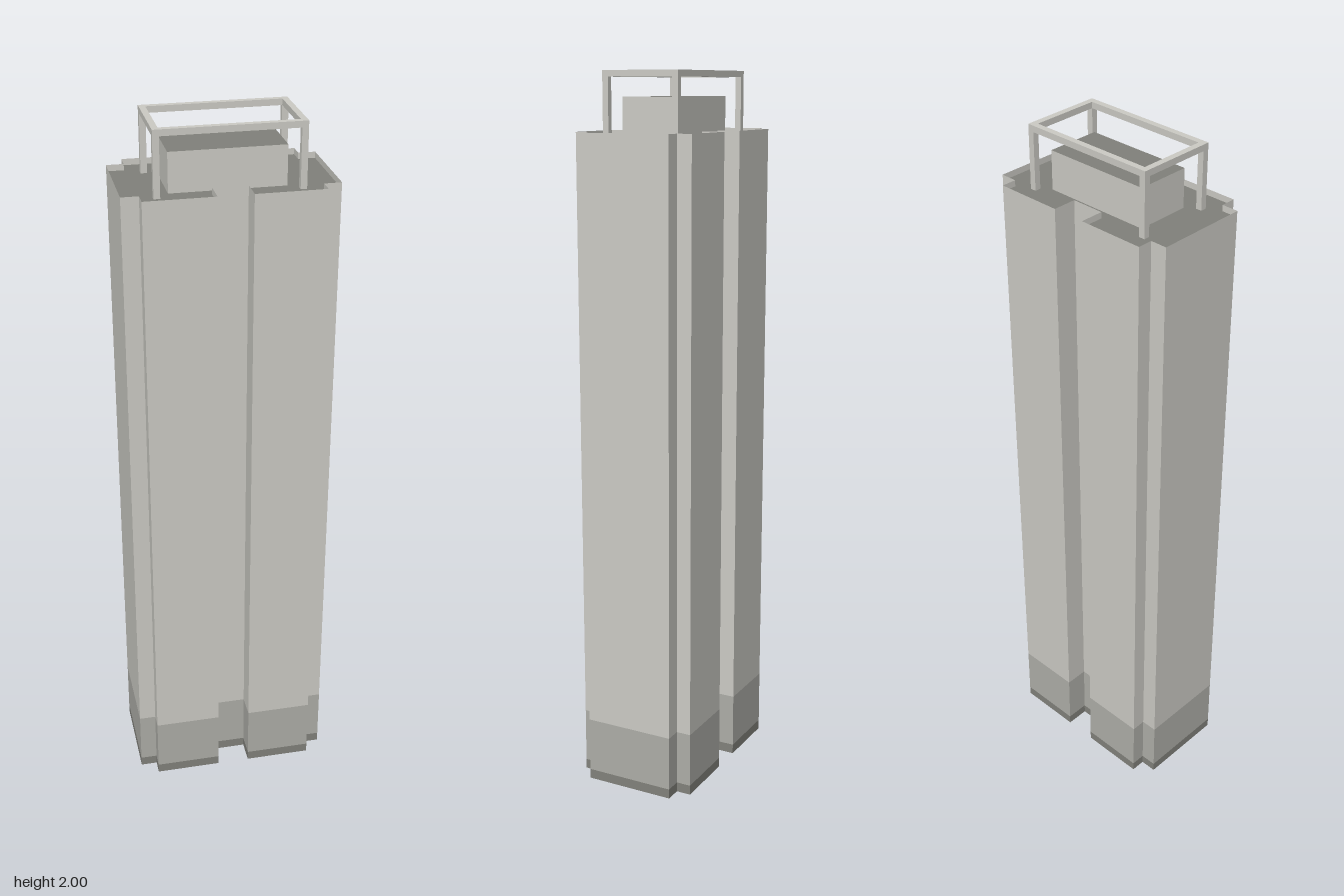
import * as THREE from 'three';

const paint = (color) => new THREE.MeshStandardMaterial({ color, side: THREE.DoubleSide, flatShading: true });

export function createModel() {
  const group = new THREE.Group();
  const wallMat = paint(0xcccbc5);
  const baseMat = paint(0xaeaea8);
  const darkMat = paint(0x81817b);

  const add = (name, geometry, material, x = 0, y = 0, z = 0) => {
    const mesh = new THREE.Mesh(geometry, material);
    mesh.name = name;
    mesh.position.set(x, y, z);
    group.add(mesh);
    return mesh;
  };

  // Footprint: one quarter of the plan, mirrored to all four
  const quarter = [[0.283, 0.13], [0.236, 0.13], [0.236, 0.172], [0.047, 0.172], [0.047, 0.105]];
  const flip = (sx, sz) => quarter.map(([x, z]) => [x * sx, z * sz]);
  const plan = [
    ...flip(1, 1), ...flip(-1, 1).reverse(),
    ...flip(-1, -1), ...flip(1, -1).reverse(),
  ];

  // Vertical wall band that follows the footprint, open at both ends
  const band = (y0, y1) => {
    const pos = [];
    plan.forEach(([ax, az], i) => {
      const [bx, bz] = plan[(i + 1) % plan.length];
      pos.push(ax, y0, az, ax, y1, az, bx, y1, bz);
      pos.push(ax, y0, az, bx, y1, bz, bx, y0, bz);
    });
    const g = new THREE.BufferGeometry();
    g.setAttribute('position', new THREE.Float32BufferAttribute(pos, 3));
    g.computeVertexNormals();
    return g;
  };
  add('plinth', band(0, 0.028), darkMat);
  add('lowerWalls', band(0.028, 0.185), baseMat);
  add('towerWalls', band(0.185, 1.842), wallMat);

  // Roof sits just below the wall tops; floor just above the plinth's foot
  const shape = new THREE.Shape(plan.map(([x, z]) => new THREE.Vector2(x, -z)));
  const roofY = 1.825;
  add('roof', new THREE.ShapeGeometry(shape).rotateX(-Math.PI / 2), darkMat, 0, roofY);
  add('floor', new THREE.ShapeGeometry(shape).rotateX(Math.PI / 2), wallMat, 0, 0.026);

  // Rooftop plant room, with a dark top
  const roomTop = 1.932;
  const room = new THREE.BoxGeometry(0.309, roomTop - roofY, 0.153);
  add('plantRoom', room, [wallMat, wallMat, darkMat, wallMat, wallMat, wallMat], 0, (roofY + roomTop) / 2);

  // Open frame around the plant room: four posts and four top rails
  const t = 0.017, fx = 0.197, fz = 0.112;
  for (const s of [-1, 1]) {
    add('frameLongRail', new THREE.BoxGeometry(fx * 2, t, t), wallMat, 0, 2 - t / 2, s * (fz - t / 2));
    add('frameShortRail', new THREE.BoxGeometry(t, t, (fz - t) * 2), wallMat, s * (fx - t / 2), 2 - t / 2, 0);
    for (const r of [-1, 1]) {
      const h = 2 - t - roofY;
      add('framePost', new THREE.BoxGeometry(t, h, t), wallMat, s * (fx - t / 2), roofY + h / 2, r * (fz - t / 2));
    }
  }
  return group;
}
